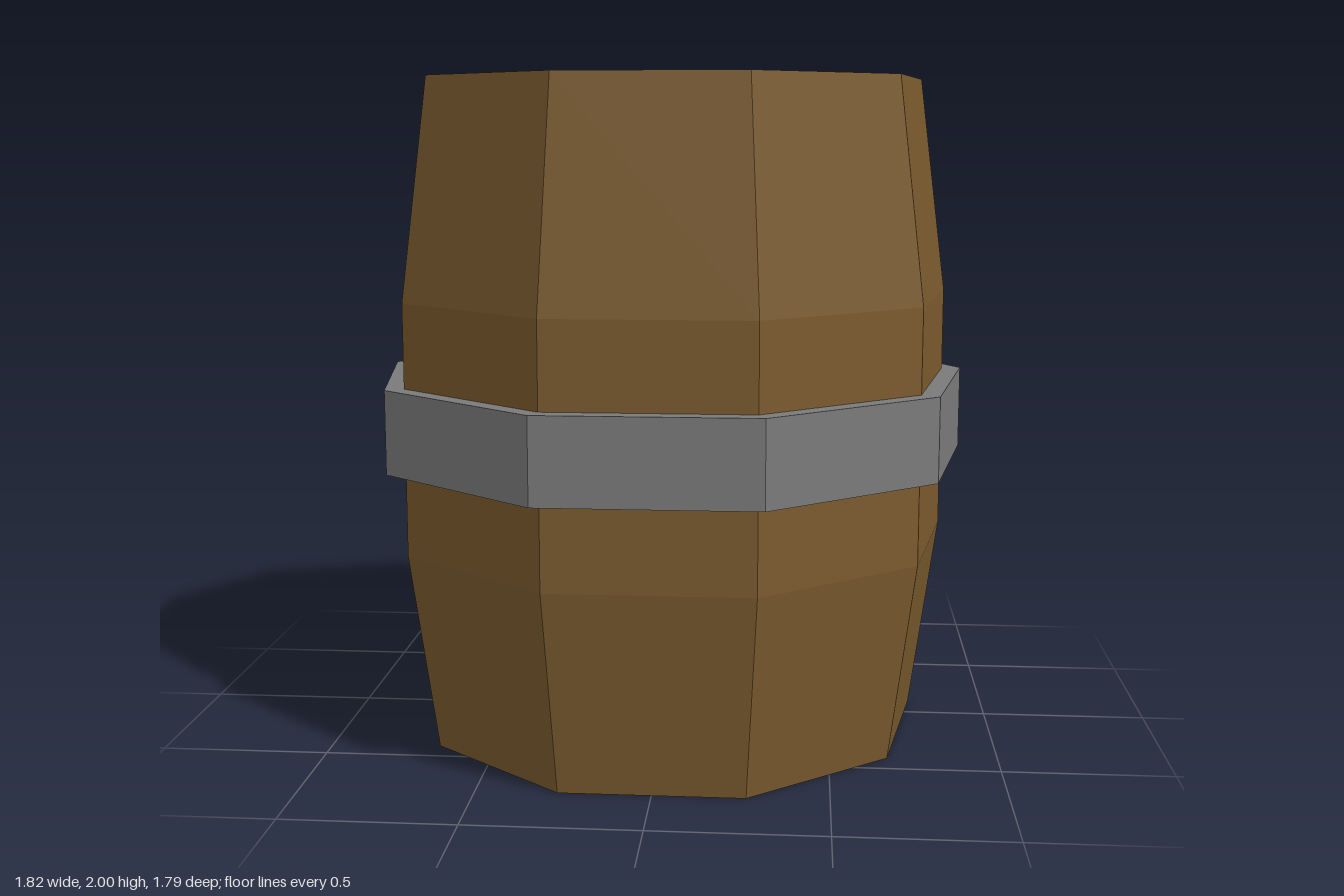
import * as THREE from 'three';

const SIDES = 9;
const CENTRE_Z = 0.028; // an odd-sided prism is off-centre within its bounds

// Faceted solid of revolution with one corner pointing to the back
function turned(name, color, profile) {
  const points = profile.map(([r, y]) => new THREE.Vector2(r, y));
  const mesh = new THREE.Mesh(
    new THREE.LatheGeometry(points, SIDES, Math.PI),
    new THREE.MeshStandardMaterial({ color, flatShading: true })
  );
  mesh.name = name;
  mesh.position.z = CENTRE_Z;
  return mesh;
}

export function createModel() {
  const model = new THREE.Group();
  model.name = 'barrel';

  // Bulging body, flat bottom, thin rim
  model.add(turned('staves', 0x7a5a2e, [
    [0, 0], [0.777, 0], [0.863, 0.6], [0.863, 1.35], [0.777, 2], [0.738, 2], [0.738, 1.95],
  ]));

  // Lid recessed inside the rim
  model.add(turned('lid', 0x7a5a2e, [[0.738, 1.95], [0, 1.95]]));

  // Metal hoop around the middle
  model.add(turned('hoop', 0x7a7a7a, [
    [0.86, 0.85], [0.922, 0.85], [0.922, 1.1], [0.86, 1.1],
  ]));

  return model;
}
